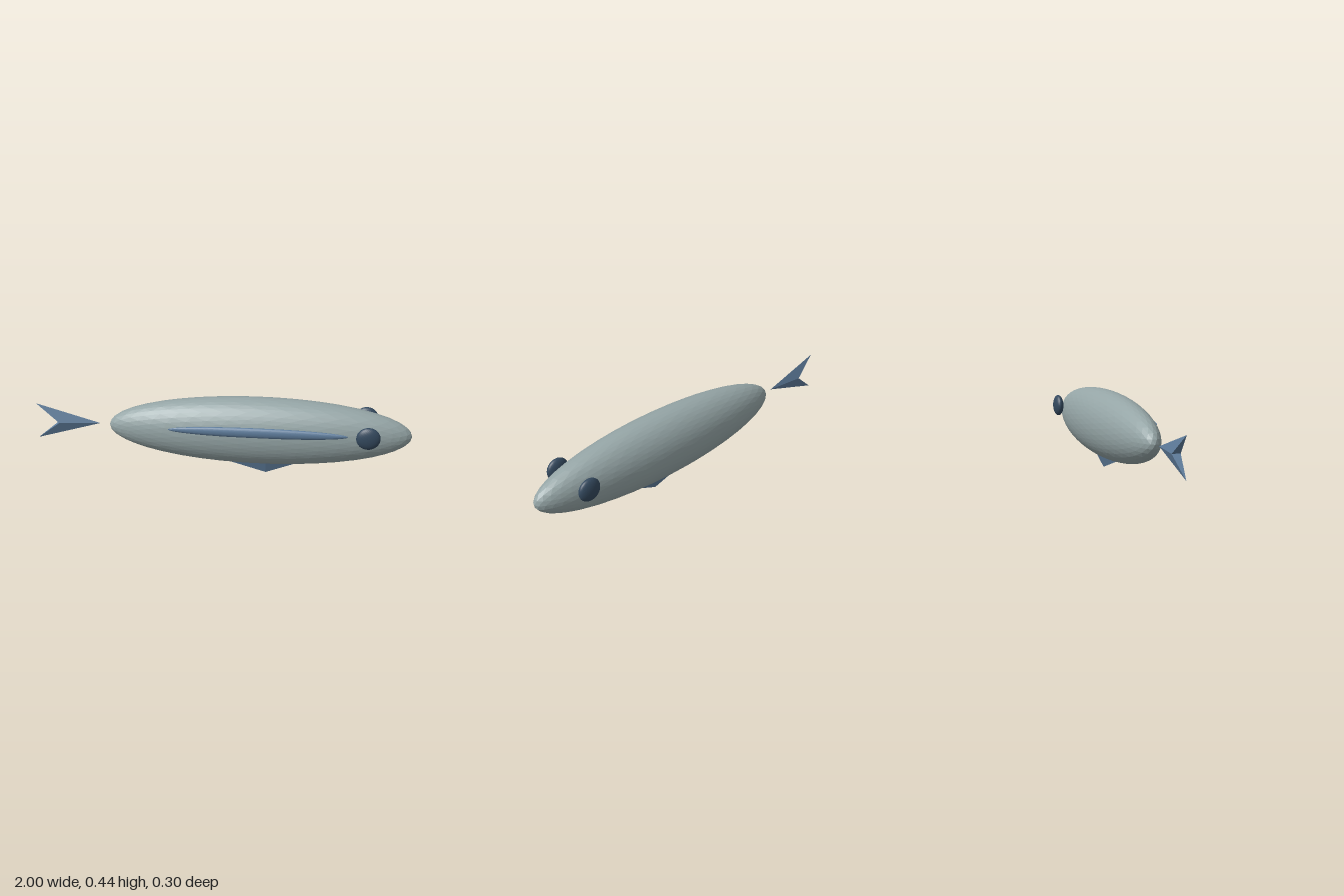
import * as THREE from 'three';

const skin = new THREE.MeshStandardMaterial({ color: 0x95a5a6 });
const finBlue = new THREE.MeshStandardMaterial({ color: 0x5f7d9c });
const eyeDark = new THREE.MeshStandardMaterial({ color: 0x34495e });

// Faceted ellipsoid: a stretched icosphere with one normal per face
function ellipsoid(name, material, center, radii, detail) {
  const geometry = new THREE.IcosahedronGeometry(1, detail);
  geometry.scale(...radii);
  geometry.translate(...center);
  geometry.computeVertexNormals();
  const mesh = new THREE.Mesh(geometry, material);
  mesh.name = name;
  return mesh;
}

// Thin fin: flat outline tip-a-b (counter-clockwise), thickened at a ridge point
function fin(name, tip, a, b, ridge, thickness) {
  const [t, p, q] = [tip, a, b].map(([x, y]) => [x, y, 0]);
  const front = [...ridge, thickness];
  const back = [...ridge, -thickness];
  const faces = [
    t, p, front, t, front, q,
    t, back, p, t, q, back,
    p, back, front, q, front, back,
  ];
  const geometry = new THREE.BufferGeometry();
  geometry.setAttribute('position', new THREE.Float32BufferAttribute(faces.flat(), 3));
  geometry.computeVertexNormals();
  const mesh = new THREE.Mesh(geometry, finBlue);
  mesh.name = name;
  return mesh;
}

export function createModel() {
  const model = new THREE.Group();
  model.name = 'fish';

  model.add(ellipsoid('body', skin, [0.197, 0.252, 0], [0.8, 0.185, 0.14], 7));

  // Long streak on the front flank only
  model.add(ellipsoid('sideStreak', finBlue, [0.195, 0.299, 0.13], [0.465, 0.028, 0.016], 7));

  // Eyes on both sides of the head
  for (const side of [1, -1]) {
    model.add(ellipsoid(side > 0 ? 'frontEye' : 'backEye', eyeDark,
      [0.763, 0.292, side * 0.124], [0.062, 0.061, 0.028], 7));
  }

  // Forked tail, floating just behind the body
  model.add(fin('tailFin', [-0.655, 0.253], [-1, 0.355], [-1, 0.152], [-0.875, 0.253], 0.022));

  // Belly fin, its root buried in the body
  model.add(fin('bellyFin', [0.237, 0], [0.47, 0.09], [-0.06, 0.087], [0.237, 0.095], 0.03));

  return model;
}
